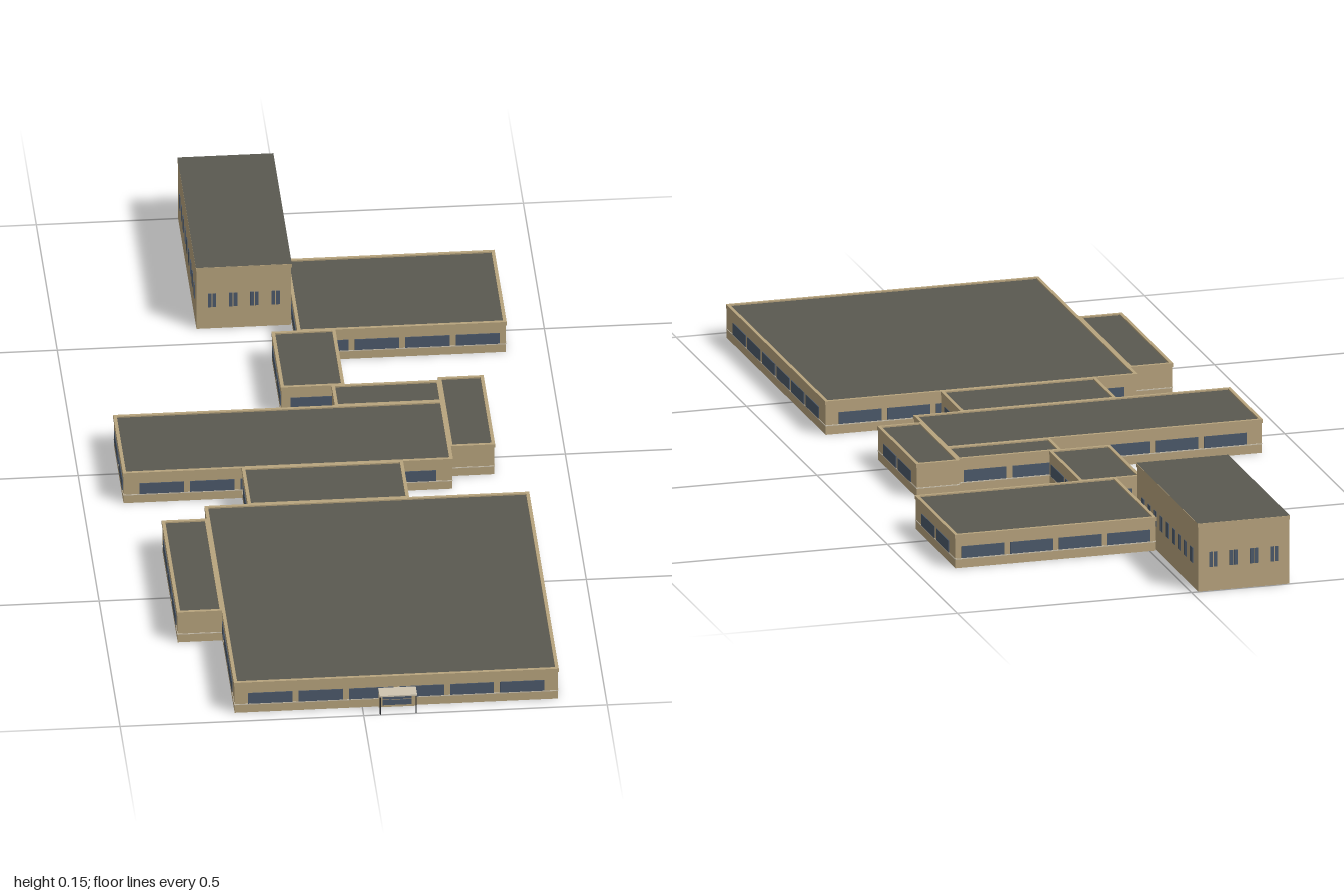
import * as THREE from 'three';

const mat = (name, color) => {
  const m = new THREE.MeshStandardMaterial({ color });
  m.name = name;
  return m;
};

export function createModel() {
  const wall = mat('tan wall', 0xb8a47e);
  const roofing = mat('dark roof', 0x5a5950);
  roofing.side = THREE.DoubleSide;
  const glass = mat('blue grey glass', 0x4d5a6b);
  const trim = mat('pale trim', 0xcfc5b0);
  const metal = mat('dark metal', 0x25272b);

  const model = new THREE.Group();
  model.name = 'buildingComplex';

  const add = (parent, name, geometry, material, x = 0, y = 0, z = 0) => {
    const mesh = new THREE.Mesh(geometry, material);
    mesh.name = name;
    mesh.position.set(x, y, z);
    parent.add(mesh);
    return mesh;
  };
  const box = (parent, name, material, w, h, d, x, y, z) =>
    add(parent, name, new THREE.BoxGeometry(w, h, d), material, x, y, z);

  // Upright rectangular ring, open above and below
  const ring = (w, d, t, h) => {
    const rect = (C, a, b) => new C([
      new THREE.Vector2(-a, -b), new THREE.Vector2(a, -b),
      new THREE.Vector2(a, b), new THREE.Vector2(-a, b)]);
    const s = rect(THREE.Shape, w / 2, d / 2);
    s.holes.push(rect(THREE.Path, w / 2 - t, d / 2 - t));
    return new THREE.ExtrudeGeometry(s, { depth: h, bevelEnabled: false }).rotateX(-Math.PI / 2);
  };

  // One block: wall shell, parapet, sunken flat roof and evenly spaced windows
  function block(name, x0, x1, z0, z1, h, tall = false) {
    const g = new THREE.Group();
    g.name = name;
    g.position.set((x0 + x1) / 2, 0, (z0 + z1) / 2);
    model.add(g);
    const w = x1 - x0, d = z1 - z0;
    add(g, 'walls', ring(w, d, 0.005, h), wall);
    add(g, 'parapet', ring(w + 0.003, d + 0.003, 0.007, 0.008), wall, 0, h - 0.008, 0);
    const over = tall ? 0.003 : -0.006;
    const slab = new THREE.PlaneGeometry(w + over, d + over).rotateX(-Math.PI / 2);
    add(g, 'roof', slab, roofing, 0, tall ? h + 0.0005 : h - 0.003, 0);

    const pitch = tall ? 0.0435 : 0.1035;
    for (let side = 0; side < 4; side++) {
      const along = side % 2 ? d : w, out = (side % 2 ? w : d) / 2;
      const face = new THREE.Group();
      face.name = 'facade';
      face.rotation.y = side * Math.PI / 2;
      g.add(face);
      const n = Math.floor(along / pitch + 0.01) - (tall && along > 0.3 ? 1 : 0);
      for (let i = 0; i < n; i++) {
        const x = (i - (n - 1) / 2) * pitch;
        if (tall) {
          for (const s of [-1, 1])
            box(face, 'windowPane', glass, 0.0075, 0.032, 0.002, x + s * 0.0048, 0.067, out + 0.0005);
        } else if (along > 0.1) {
          box(face, 'window', glass, 0.091, 0.025, 0.002, x, 0.0335, out + 0.0005);
        }
      }
      if (!tall) box(face, 'sillBand', trim, along, 0.002, 0.002, 0, 0.0195, out);
    }
  }

  const H = 0.072;
  block('tallHall', -0.209, -0.015, -0.998, -0.56, 0.1455, true);
  block('rearWing', -0.013, 0.414, -0.7, -0.415, H);
  block('rearLink', -0.066, 0.062, -0.415, -0.195, H);
  block('middleLink', 0.038, 0.257, -0.195, -0.113, H);
  block('sideAnnex', 0.257, 0.349, -0.206, 0.067, H);
  block('middleWing', -0.417, 0.257, -0.113, 0.117, H);
  block('frontLink', -0.173, 0.155, 0.117, 0.263, H);
  block('mainHall', -0.262, 0.402, 0.263, 0.966, H);
  block('sideWing', -0.354, -0.262, 0.313, 0.677, H);

  // Entrance: surround, glazed doors, canopy on two posts
  const entrance = new THREE.Group();
  entrance.name = 'entrance';
  entrance.position.set(0.071, 0, 0.966);
  model.add(entrance);
  box(entrance, 'doorSurround', wall, 0.076, 0.042, 0.003, 0, 0.021, 0.002);
  box(entrance, 'upperGlazing', glass, 0.06, 0.021, 0.002, 0, 0.029, 0.0035);
  box(entrance, 'doors', glass, 0.06, 0.012, 0.002, 0, 0.011, 0.0035);
  box(entrance, 'canopy', trim, 0.077, 0.003, 0.034, 0, 0.0435, 0.017);
  for (const s of [-1, 1])
    box(entrance, 'canopyPost', metal, 0.0025, 0.042, 0.0025, s * 0.0365, 0.021, 0.032);

  return model;
}
